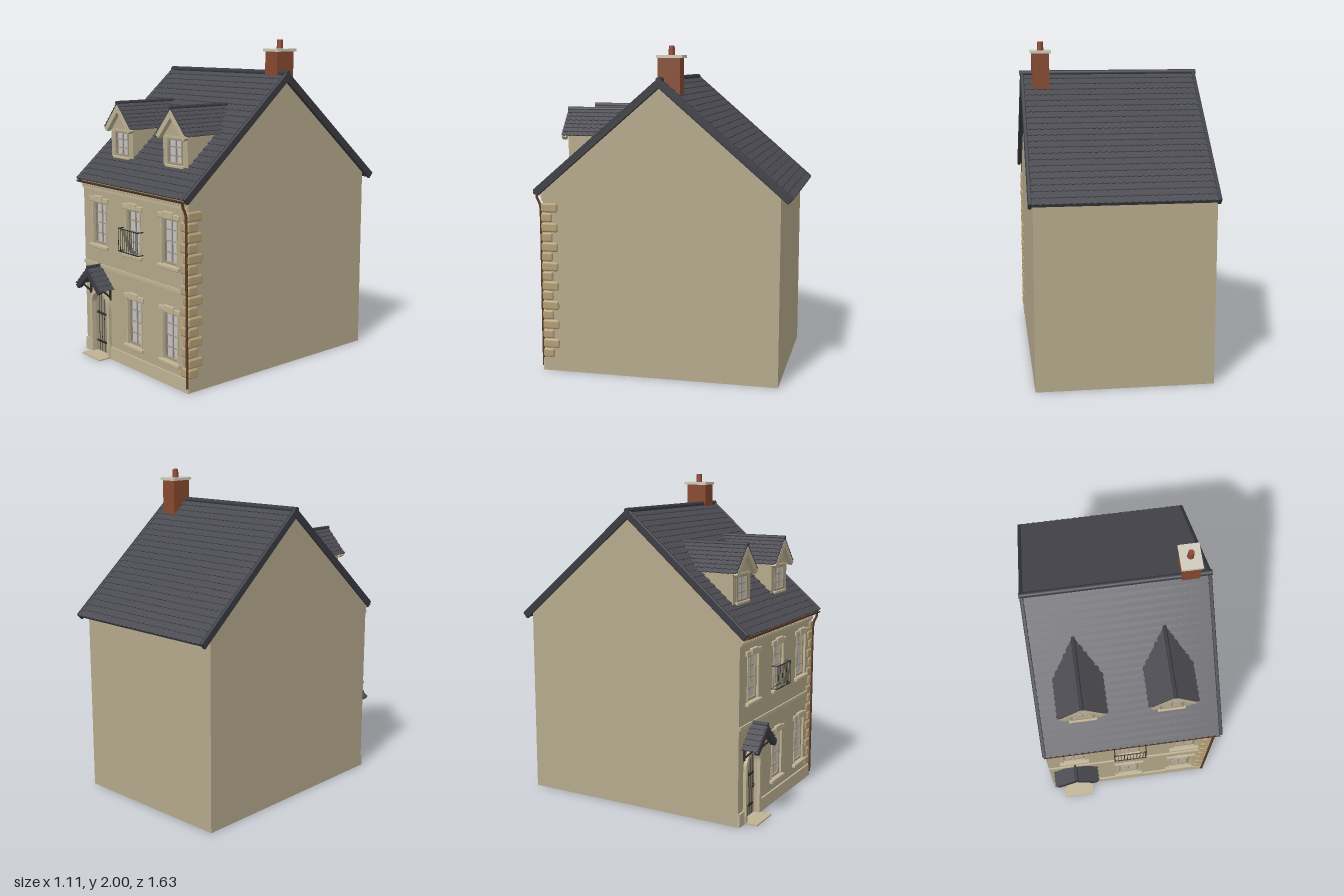
import * as THREE from 'three';
import { RoundedBoxGeometry } from 'three/addons/geometries/RoundedBoxGeometry.js';

const mat = (color, side = THREE.FrontSide) => new THREE.MeshStandardMaterial({ color, side });
const WALL = mat(0xb5a98c), TRIM = mat(0xbfb394), QUOIN = mat(0xb39d74), SLATE = mat(0x4a4a51),
  RIDGE = mat(0x3a3b42), BRICK = mat(0x86492f), CAP = mat(0xcfcbbb), POT = mat(0x8a4a33),
  GLASS = mat(0xc2c2c8), FRAME = mat(0xa0957c), DOOR = mat(0x958c76), IRON = mat(0x2e2d2b),
  GUTTER = mat(0x5a3c2a), LINER = mat(0x8a7059, THREE.DoubleSide);

const FRONT = 0.71, BACK = -0.745, LEFT = -0.545, RIGHT = 0.52;
const RIDGE_Z = -0.028, RIDGE_Y = 1.8, HALF = 0.78, DROP = 0.67;

function add(parent, name, geo, material, x = 0, y = 0, z = 0) {
  const m = new THREE.Mesh(geo, material);
  m.name = name;
  m.position.set(x, y, z);
  parent.add(m);
  return m;
}

// Box given by its minimum and maximum corners
function box(parent, name, material, x0, x1, y0, y1, z0, z1, radius = 0) {
  const s = [x1 - x0, y1 - y0, z1 - z0];
  const geo = radius ? new RoundedBoxGeometry(...s, 1, radius) : new THREE.BoxGeometry(...s);
  return add(parent, name, geo, material, (x0 + x1) / 2, (y0 + y1) / 2, (z0 + z1) / 2);
}

function group(parent, name, x = 0, y = 0, z = 0) {
  const g = new THREE.Group();
  g.name = name;
  g.position.set(x, y, z);
  parent.add(g);
  return g;
}

const polygon = pts => new THREE.Shape(pts.map(p => new THREE.Vector2(...p)));
const extrude = (shape, depth, curveSegments = 12) =>
  new THREE.ExtrudeGeometry(shape, { depth, curveSegments, bevelEnabled: false });

function rod(parent, name, material, a, b, r, sides = 10) {
  const A = new THREE.Vector3(...a), B = new THREE.Vector3(...b);
  const m = add(parent, name, new THREE.CylinderGeometry(r, r, A.distanceTo(B), sides), material);
  m.position.copy(A).add(B).multiplyScalar(0.5);
  m.quaternion.setFromUnitVectors(new THREE.Vector3(0, 1, 0), B.sub(A).normalize());
  return m;
}

// Outline with a semicircular head
function archPoints(Type, x, r, y0, spring) {
  const s = new Type();
  s.moveTo(x - r, y0);
  s.lineTo(x + r, y0);
  s.lineTo(x + r, spring);
  s.absarc(x, spring, r, 0, Math.PI, false);
  s.lineTo(x - r, y0);
  return s;
}

// Slope of overlapping scalloped slates: ridge at the origin, running down toward turned +z
function slope(parent, width, run, drop, rows, tiles, thick, turn, lift) {
  const g = group(parent, 'slateSlope');
  g.rotation.order = 'YXZ';
  g.rotation.set(Math.atan2(drop, run), turn, 0);
  const len = Math.hypot(run, drop), step = len / rows, tw = width / tiles;
  box(g, 'roofDeck', SLATE, -width / 2, width / 2, -thick, 0, 0, len - 0.008);
  const s = new THREE.Shape();
  s.moveTo(width / 2, 0);
  s.lineTo(-width / 2, 0);
  s.lineTo(-width / 2, -step);
  for (let j = 0; j < tiles; j++) {
    const x = -width / 2 + j * tw;
    s.quadraticCurveTo(x + tw / 2, -step - 0.016, x + tw, -step);
  }
  const geo = extrude(s, 0.005, 4).rotateX(-Math.PI / 2);
  for (let i = 0; i < rows; i++) {
    add(g, 'slateCourse', geo, SLATE, 0, -0.002, i * step).rotation.x = -Math.atan2(lift, step);
  }
  return g;
}

// Small roof with its ridge along z, front end at z = 0
function gablet(parent, half, drop, depth, rows, tiles, barge) {
  const g = group(parent, 'gabletRoof');
  for (const s of [-1, 1]) {
    slope(g, depth, half, drop, rows, tiles, 0.012, s * Math.PI / 2, 0.006).position.z = -depth / 2;
    const board = polygon([[0, -0.008], [s * half, -drop - 0.008], [s * (half - 0.025), -drop - 0.026], [0, -0.055]]);
    add(g, 'bargeBoard', extrude(board, 0.03), barge, 0, 0, -0.028);
  }
  rod(g, 'ridgeRoll', RIDGE, [0, 0.002, -depth], [0, 0.002, 0.004], 0.012);
  return g;
}

function sash(parent, x, y0, y1, w, z, rows) {
  const g = group(parent, 'window', x, 0, z), h = w / 2, t = 0.012;
  box(g, 'glass', GLASS, -h, h, y0, y1, -0.006, 0);
  for (const s of [-1, 1]) {
    const e = s * (h - t / 2);
    box(g, 'frameStile', FRAME, e - t / 2, e + t / 2, y0, y1, -0.006, 0.016);
  }
  box(g, 'frameSill', FRAME, -h, h, y0, y0 + t, -0.006, 0.016);
  box(g, 'frameHead', FRAME, -h, h, y1 - t, y1, -0.006, 0.016);
  box(g, 'verticalBar', FRAME, -0.003, 0.003, y0, y1, 0, 0.008);
  for (let i = 1; i < rows; i++) {
    const y = y0 + (y1 - y0) * i / rows;
    box(g, 'crossBar', FRAME, -h, h, y - 0.003, y + 0.003, 0, 0.008);
  }
}

export function createModel() {
  const house = new THREE.Group();
  house.name = 'house';
  const doorX = -0.372;
  const windows = [[-0.37, 0.725, 0.995], [-0.01, 0.725, 0.995], [0.345, 0.725, 0.995],
    [-0.01, 0.15, 0.44], [0.345, 0.15, 0.44]];

  // Walls: pierced front, plain back, two gabled sides
  const front = polygon([[LEFT, 0], [RIGHT, 0], [RIGHT, 1.12], [LEFT, 1.12]]);
  for (const [x, a, b] of windows) {
    front.holes.push(polygon([[x - 0.07, a], [x - 0.07, b], [x + 0.07, b], [x + 0.07, a]]));
  }
  front.holes.push(archPoints(THREE.Path, doorX, 0.083, 0.004, 0.33));
  add(house, 'frontWall', extrude(front, 0.06), WALL, 0, 0, FRONT - 0.06);
  box(house, 'innerLining', LINER, LEFT + 0.05, RIGHT - 0.05, 0, 1.12, FRONT - 0.07, FRONT - 0.06);
  box(house, 'backWall', WALL, LEFT, RIGHT, 0, 1.14, BACK, BACK + 0.05);
  const gable = polygon([[-FRONT, 0], [-BACK, 0], [-BACK, 1.145], [-RIDGE_Z, 1.768], [-FRONT, 1.13]]);
  for (const x of [LEFT, RIGHT - 0.05]) {
    add(house, 'gableWall', extrude(gable, 0.05).rotateY(Math.PI / 2), WALL, x);
  }

  // Plinth, string course, cornice and dentils
  box(house, 'plinth', TRIM, LEFT, doorX - 0.1, 0, 0.08, FRONT, FRONT + 0.012);
  box(house, 'plinth', TRIM, doorX + 0.1, RIGHT + 0.005, 0, 0.08, FRONT, FRONT + 0.012);
  box(house, 'stringCourse', TRIM, LEFT, RIGHT, 0.58, 0.6, FRONT, FRONT + 0.01);
  box(house, 'cornice', TRIM, LEFT, RIGHT, 1.07, 1.085, FRONT, FRONT + 0.01);
  box(house, 'cornice', TRIM, LEFT, RIGHT, 1.102, 1.125, FRONT, FRONT + 0.025);
  for (let i = 0; i < 42; i++) {
    const x = LEFT + 0.008 + i * 0.025;
    box(house, 'dentil', TRIM, x, x + 0.014, 1.085, 1.102, FRONT, FRONT + 0.018);
  }

  // Corner stones, alternating long and short
  for (let i = 0; i < 16; i++) {
    const y = 0.085 + i * 0.061, long = i % 2;
    box(house, 'cornerStone', QUOIN, long ? 0.475 : 0.45, 0.532, y, y + 0.057,
      long ? 0.615 : 0.65, FRONT + 0.012, 0.012);
  }

  // Windows with stone sills, lintels and keystones
  for (const [x, a, b] of windows) {
    sash(house, x, a, b, 0.14, FRONT - 0.025, 4);
    box(house, 'sill', TRIM, x - 0.097, x + 0.097, a - 0.025, a, FRONT - 0.02, FRONT + 0.022, 0.006);
    box(house, 'lintel', TRIM, x - 0.1, x + 0.1, b, b + 0.032, FRONT - 0.01, FRONT + 0.012, 0.005);
    box(house, 'keystone', TRIM, x - 0.045, x + 0.045, b, b + 0.043, FRONT - 0.01, FRONT + 0.018, 0.005);
    for (const s of [-1, 1]) {
      const e = x + s * 0.074;
      box(house, 'windowJamb', TRIM, e - 0.005, e + 0.005, a, b, FRONT - 0.01, FRONT + 0.005);
    }
  }

  // Balconette railing
  const rail = group(house, 'balconette', -0.01, 0, FRONT);
  for (const y of [0.735, 0.875]) {
    rod(rail, 'rail', IRON, [-0.1, y, 0.04], [0.1, y, 0.04], 0.0035, 6);
    for (const x of [-0.1, 0.1]) rod(rail, 'returnRail', IRON, [x, y, 0], [x, y, 0.04], 0.0035, 6);
  }
  for (let i = 0; i <= 10; i++) {
    const x = -0.1 + i * 0.02;
    rod(rail, 'baluster', IRON, [x, 0.735, 0.04], [x, 0.875, 0.04], 0.002, 6);
  }

  // Arched plank door with surround, straps and step
  const surround = archPoints(THREE.Shape, doorX, 0.108, 0, 0.33);
  surround.holes.push(archPoints(THREE.Path, doorX, 0.083, 0.001, 0.33));
  add(house, 'doorSurround', extrude(surround, 0.03, 20), TRIM, 0, 0, FRONT - 0.01);
  add(house, 'door', extrude(archPoints(THREE.Shape, doorX, 0.084, 0, 0.33), 0.02, 20), DOOR, 0, 0, FRONT - 0.04);
  for (let i = -2; i <= 2; i++) {
    const x = i * 0.028, top = 0.33 + Math.sqrt(0.083 ** 2 - x * x);
    box(house, 'plankGroove', IRON, doorX + x - 0.002, doorX + x + 0.002, 0.005, top, FRONT - 0.03, FRONT - 0.0185);
  }
  for (const y of [0.075, 0.265]) {
    box(house, 'hingeStrap', IRON, doorX - 0.08, doorX + 0.06, y - 0.006, y + 0.006, FRONT - 0.03, FRONT - 0.014);
  }
  add(house, 'doorHandle', new THREE.TorusGeometry(0.011, 0.003, 6, 14), IRON, doorX + 0.06, 0.185, FRONT - 0.014);
  box(house, 'doorStep', TRIM, doorX - 0.1, doorX + 0.1, 0, 0.008, FRONT - 0.03, 0.8);

  // Porch hood on brackets
  gablet(house, 0.137, 0.128, 0.11, 5, 4, RIDGE).position.set(doorX, 0.588, 0.81);
  for (const s of [-1, 1]) {
    const x = doorX + s * 0.11;
    rod(house, 'porchBracket', IRON, [x, 0.395, FRONT], [x, 0.47, 0.785], 0.006, 6);
    box(house, 'bracketPost', IRON, x - 0.006, x + 0.006, 0.385, 0.48, FRONT, FRONT + 0.01);
    box(house, 'bracketArm', IRON, x - 0.006, x + 0.006, 0.465, 0.478, FRONT, 0.8);
  }

  // Main roof with verges and ridge roll
  const roof = group(house, 'mainRoof', -0.002, RIDGE_Y, RIDGE_Z);
  for (const turn of [0, Math.PI]) {
    const side = slope(roof, 1.08, HALF, DROP, 22, 28, 0.03, turn, 0.008);
    const len = Math.hypot(HALF, DROP);
    for (const x of [-0.54, 0.54]) {
      box(side, 'verge', RIDGE, x - 0.011, x + 0.011, -0.034, 0.014, 0, len + 0.004, 0.006);
    }
  }
  rod(roof, 'ridgeRoll', RIDGE, [-0.555, 0.004, 0], [0.555, 0.004, 0], 0.017, 12);

  // Gutter and downpipe
  const trough = new THREE.CylinderGeometry(0.016, 0.016, 1.08, 10, 1, true, -Math.PI / 2, Math.PI);
  trough.rotateX(Math.PI / 2).rotateY(Math.PI / 2);
  add(house, 'gutter', trough, mat(0x5a3c2a, THREE.DoubleSide), -0.005, 1.125, 0.75);
  const bend = new THREE.CatmullRomCurve3([[0.75, 1.115], [0.748, 1.09], [0.728, 1.05], [0.724, 1.0], [0.724, 0.5], [0.724, 0.03]]
    .map(([z, y]) => new THREE.Vector3(0.517, y, z)));
  add(house, 'downpipe', new THREE.TubeGeometry(bend, 40, 0.008, 8), GUTTER);

  // Two dormers
  for (const x of [-0.282, 0.253]) {
    const d = group(house, 'dormer', x);
    const face = polygon([[-0.115, 1.25], [0.115, 1.25], [0.115, 1.49], [0, 1.59], [-0.115, 1.49]]);
    face.holes.push(polygon([[-0.072, 1.285], [-0.072, 1.44], [0.072, 1.44], [0.072, 1.285]]));
    add(d, 'dormerFace', extrude(face, 0.03), WALL, 0, 0, 0.56);
    const cheek = polygon([[-0.588, 1.25], [-0.32, 1.48], [-0.588, 1.48]]);
    for (const cx of [-0.115, 0.095]) {
      add(d, 'dormerCheek', extrude(cheek, 0.02).rotateY(Math.PI / 2), WALL, cx);
    }
    sash(d, 0, 1.285, 1.44, 0.144, 0.578, 3);
    box(d, 'dormerSill', TRIM, -0.085, 0.085, 1.268, 1.285, 0.57, 0.605, 0.004);
    box(d, 'dormerLintel', TRIM, -0.085, 0.085, 1.44, 1.452, 0.58, 0.6);
    gablet(d, 0.14, 0.155, 0.435, 7, 12, TRIM).position.set(0, 1.615, 0.625);
  }

  // Chimney with cap and pot
  box(house, 'chimneyStack', BRICK, 0.375, 0.478, 1.66, 1.93, -0.14, -0.005);
  box(house, 'chimneyCap', CAP, 0.363, 0.487, 1.93, 1.947, -0.155, 0.002);
  add(house, 'chimneyPot', new THREE.CylinderGeometry(0.017, 0.02, 0.055, 16), POT, 0.425, 1.9725, -0.078);
  return house;
}
